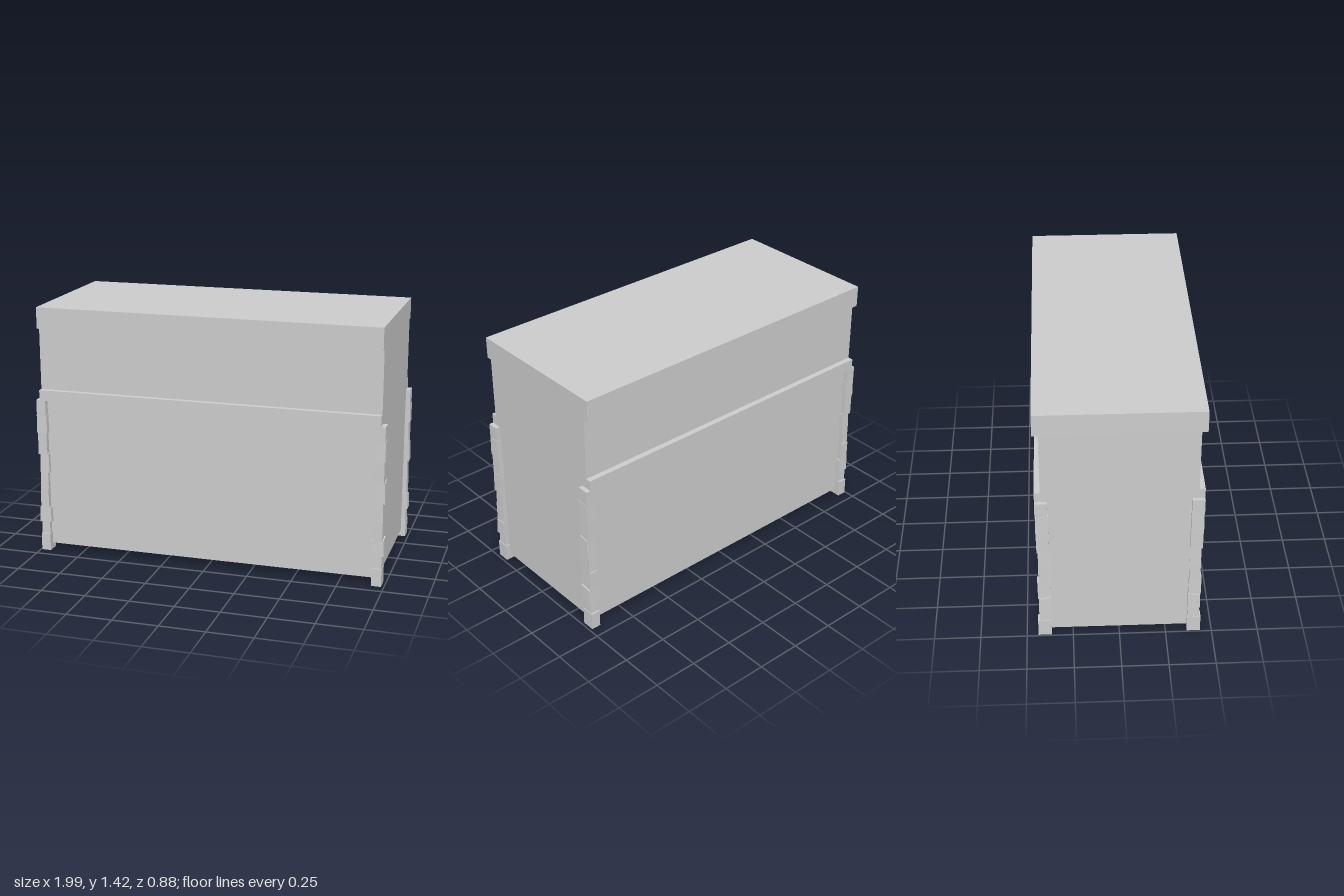
import * as THREE from 'three';

const material = new THREE.MeshStandardMaterial({ color: 0xcccccc, flatShading: true, side: THREE.DoubleSide });
const X0 = -0.975, X1 = 0.957, BOTTOM = 0.035;

// Half outline of the cabinet in (z, y), from the open bottom up to the top
const half = [
  [0.404, BOTTOM], [0.404, 0.89], [0.435, 0.89], [0.435, 0.95],
  [0.404, 0.95], [0.404, 1.30], [0.435, 1.30], [0.435, 1.42],
];
const outline = [...half, ...half.map(([z, y]) => [-z, y]).reverse()];

// Strip of walls, ledges and top, running along x and left open underneath
function shellGeometry() {
  const pos = [];
  for (let i = 0; i < outline.length - 1; i++) {
    const [za, ya] = outline[i], [zb, yb] = outline[i + 1];
    const a = [X0, ya, za], b = [X1, ya, za], c = [X1, yb, zb], d = [X0, yb, zb];
    pos.push(...a, ...b, ...c, ...a, ...c, ...d);
  }
  const geo = new THREE.BufferGeometry();
  geo.setAttribute('position', new THREE.Float32BufferAttribute(pos, 3));
  geo.computeVertexNormals();
  return geo;
}

// Rough post blocks: bottom, top, x min, x max, z min, z max (relative to post centre), tilt
const blocks = [
  [0.00, 0.10, -0.027, 0.027, -0.036, 0.036, 0.000],
  [0.09, 0.18, -0.025, 0.024, -0.032, 0.027, 0.003],
  [0.17, 0.262, -0.034, 0.034, -0.035, 0.029, 0.005],
  [0.255, 0.37, -0.025, 0.025, -0.036, 0.031, -0.004],
  [0.36, 0.47, -0.024, 0.024, -0.033, 0.026, 0.003],
  [0.465, 0.585, -0.023, 0.032, -0.033, 0.026, 0.006],
  [0.575, 0.71, -0.029, 0.025, -0.036, 0.030, -0.004],
  [0.70, 0.81, -0.033, 0.029, -0.034, 0.032, 0.004],
  [0.80, 0.893, -0.029, 0.025, -0.031, 0.033, 0.000],
];

// Box whose top is tilted and slightly narrowed
function blockGeometry([y0, y1, x0, x1, z0, z1, tilt]) {
  const geo = new THREE.BoxGeometry(x1 - x0, y1 - y0, z1 - z0);
  const p = geo.attributes.position;
  for (let i = 0; i < p.count; i++) {
    if (p.getY(i) < 0) continue;
    const sz = Math.sign(p.getZ(i)), sx = Math.sign(p.getX(i));
    p.setXYZ(i, p.getX(i) - sx * Math.abs(tilt) * 0.5, p.getY(i) - sz * tilt, p.getZ(i) - tilt * 0.4);
  }
  geo.translate((x0 + x1) / 2, (y0 + y1) / 2, (z0 + z1) / 2);
  geo.computeVertexNormals();
  return geo;
}

export function createModel() {
  const model = new THREE.Group();
  model.name = 'cabinet';

  const shell = new THREE.Mesh(shellGeometry(), material);
  shell.name = 'cabinetShell';
  model.add(shell);

  // Flat end panels closing both sides
  const shape = new THREE.Shape(outline.map(([z, y]) => new THREE.Vector2(z, y)));
  for (const [name, x, turn] of [['leftEnd', X1, 1], ['rightEnd', X0, -1]]) {
    const end = new THREE.Mesh(new THREE.ShapeGeometry(shape), material);
    end.name = name;
    end.rotation.y = turn * Math.PI / 2;
    end.position.x = x;
    model.add(end);
  }

  // Four rough-hewn corner posts
  const geometries = blocks.map(blockGeometry);
  for (const [side, x] of [['Left', 0.957], ['Right', -0.966]]) {
    for (const [depth, s] of [['front', 1], ['back', -1]]) {
      const post = new THREE.Group();
      post.name = depth + side + 'Post';
      for (const geo of geometries) {
        const block = new THREE.Mesh(geo, material);
        block.name = 'postBlock';
        post.add(block);
      }
      post.position.set(x, 0, s * 0.402);
      post.scale.z = s;
      model.add(post);
    }
  }
  return model;
}
